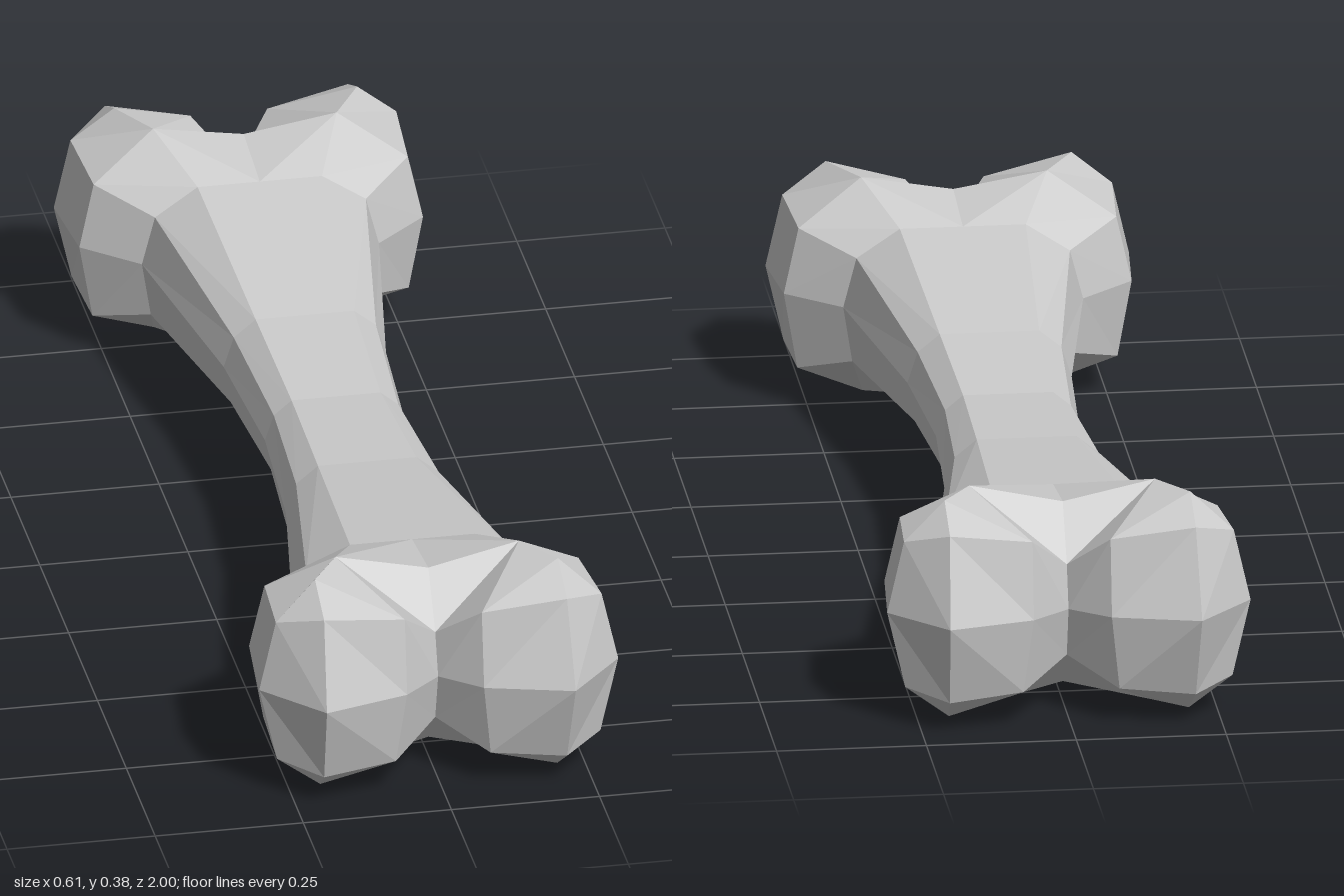
import * as THREE from 'three';

// Half cross-sections (x >= 0) from top centre round to bottom centre,
// running from the middle of the shaft out to the back of the knuckle.
const rings = [
  [[0, .265, 0], [.075, .265, 0], [.105, .24, 0], [.12, .195, 0], [.11, .14, 0], [.07, .097, 0], [0, .095, 0]],
  [[0, .28, .27], [.083, .28, .27], [.12, .25, .27], [.137, .197, .27], [.125, .13, .27], [.08, .084, .27], [0, .083, .27]],
  [[0, .332, .66], [.105, .332, .66], [.178, .285, .655], [.2, .2, .655], [.185, .105, .655], [.11, .042, .67], [0, .045, .66]],
  [[0, .35, .8], [.155, .38, .79], [.265, .312, .74], [.29, .2, .735], [.267, .068, .74], [.15, 0, .81], [0, .035, .8]],
];

// Knuckle corners: M = widest rim, F = front ridge, I = inner lip, N = notch
const M = [[.205, .383, .87], [.275, .32, .89], [.303, .197, .89], [.273, .066, .89], [.2, .012, .89]];
const F = [[.205, .347, .95], [.21, .2, 1], [.205, .055, .95]];
const I = [[.065, .325, .93], [.065, .195, .95], [.08, .063, .93]];
const N = [[0, .26, .86], [0, .19, .885], [0, .102, .86]];

function shaftFaces() {
  const faces = [];
  for (let r = 0; r < rings.length - 1; r++) {
    const a = rings[r], b = rings[r + 1];
    for (let i = 0; i < a.length - 1; i++) faces.push([a[i], b[i], b[i + 1], a[i + 1]]);
  }
  return faces;
}

function knuckleFaces() {
  const K = rings[3];
  const faces = [
    // top and bottom of the cleft
    [K[1], K[0], N[0], I[0], M[0]],
    [K[5], M[4], I[2], N[2], K[6]],
    // bevels from rim to front ridge
    [M[0], I[0], F[0]], [M[0], F[0], M[1]],
    [M[1], F[0], F[1], M[2]], [M[2], F[1], F[2], M[3]],
    [M[3], F[2], M[4]], [M[4], F[2], I[2]],
  ];
  // outer side band
  for (let i = 0; i < 4; i++) faces.push([K[i + 1], M[i], M[i + 1], K[i + 2]]);
  // front facets and inner walls of the cleft
  for (let i = 0; i < 2; i++) {
    faces.push([F[i], I[i], I[i + 1], F[i + 1]]);
    faces.push([I[i], N[i], N[i + 1], I[i + 1]]);
  }
  return faces;
}

// Fans each polygon into triangles and mirrors it across x and the given z sides
function mirroredMesh(name, faces, zSides, material) {
  const pos = [];
  for (const sz of zSides) for (const sx of [1, -1]) {
    for (const f of faces) {
      for (let i = 1; i < f.length - 1; i++) {
        const tri = sx * sz > 0 ? [f[0], f[i], f[i + 1]] : [f[0], f[i + 1], f[i]];
        for (const [x, y, z] of tri) pos.push(x * sx, y, z * sz);
      }
    }
  }
  const geo = new THREE.BufferGeometry();
  geo.setAttribute('position', new THREE.Float32BufferAttribute(pos, 3));
  geo.computeVertexNormals();
  const mesh = new THREE.Mesh(geo, material);
  mesh.name = name;
  return mesh;
}

export function createModel() {
  const group = new THREE.Group();
  group.name = 'bone';
  const material = new THREE.MeshStandardMaterial({ color: 0xcccccc, flatShading: true });
  group.add(
    mirroredMesh('shaft', shaftFaces(), [1, -1], material),
    mirroredMesh('frontKnuckles', knuckleFaces(), [1], material),
    mirroredMesh('backKnuckles', knuckleFaces(), [-1], material),
  );
  return group;
}
